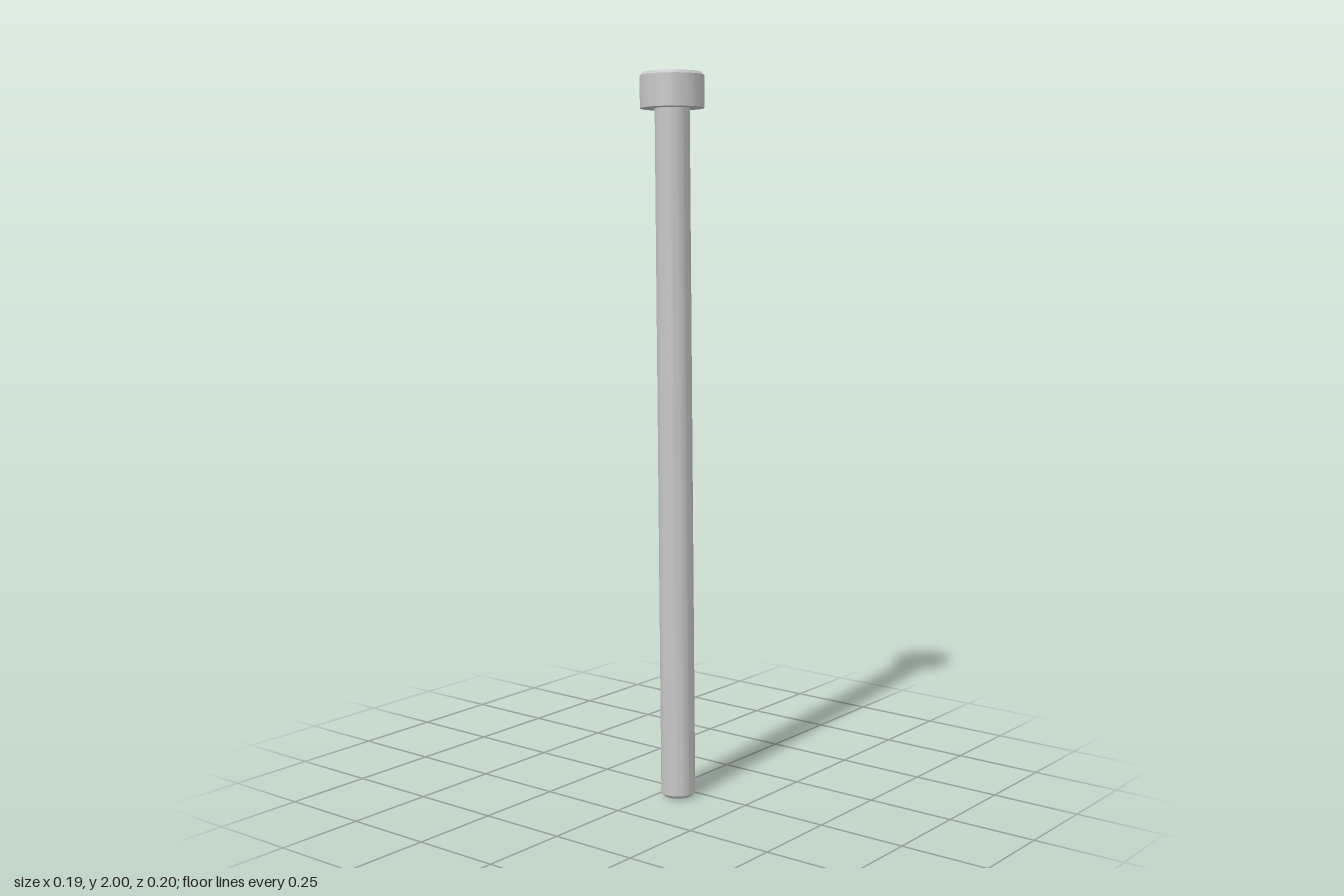
import * as THREE from 'three';
import { toCreasedNormals } from 'three/addons/utils/BufferGeometryUtils.js';

const LENGTH = 1.995, HEAD_H = 0.095, HEAD_R = 0.0873, SHAFT_R = 0.0475;
const HEX_R = 0.0458, CONE_R = 0.0394, SOCKET_DEPTH = 0.045, CONE_DEPTH = 0.02;

// Turned surface from [radius, height] pairs, with sharp edges kept
function turned(points, sides) {
  const profile = points.map(([r, y]) => new THREE.Vector2(r, y));
  return toCreasedNormals(new THREE.LatheGeometry(profile, sides), 0.35);
}

// Flat, upward-facing polygon with a polygonal hole
function ring(outerR, outerSides, innerR, innerSides, y) {
  const corners = (r, n) => Array.from({ length: n }, (_, i) => {
    const a = Math.PI / 2 + (i / n) * Math.PI * 2;
    return new THREE.Vector2(r * Math.cos(a), r * Math.sin(a));
  });
  const shape = new THREE.Shape(corners(outerR, outerSides));
  shape.holes.push(new THREE.Path(corners(innerR, innerSides)));
  return new THREE.ShapeGeometry(shape).rotateX(-Math.PI / 2).translate(0, y, 0);
}

export function createModel() {
  const model = new THREE.Group();
  model.name = 'socketHeadScrew';
  const steel = new THREE.MeshStandardMaterial({ color: 0xc4c4c4 });
  steel.name = 'steel grey';

  const screw = new THREE.Group();
  screw.name = 'screw';
  model.add(screw);
  const add = (name, geometry) => {
    const mesh = new THREE.Mesh(geometry, steel);
    mesh.name = name;
    screw.add(mesh);
  };

  const under = LENGTH - HEAD_H;
  const floor = LENGTH - SOCKET_DEPTH;

  // Plain shaft with a chamfered tip
  add('shaft', turned([[0, 0], [0.0395, 0], [SHAFT_R, 0.008], [SHAFT_R, under]], 64));

  // Cylindrical head with a chamfered top rim
  add('head', turned([
    [SHAFT_R, under], [HEAD_R, under], [HEAD_R, LENGTH - 0.008], [0.08, LENGTH],
  ], 64));
  add('headTop', ring(0.08, 64, HEX_R, 6, LENGTH));

  // Hexagonal socket with a drilled conical bottom
  add('socketWalls', turned([[HEX_R, LENGTH], [HEX_R, floor]], 6));
  add('socketFloor', ring(HEX_R, 6, CONE_R, 48, floor));
  add('socketCone', turned([[CONE_R, floor], [0, floor - CONE_DEPTH]], 48));

  // Lean the whole screw along its axis
  const base = new THREE.Vector3(-0.048, 0.0017, 0.052);
  const axis = new THREE.Vector3(0.0063, 1.9966, -0.0135).sub(base).normalize();
  screw.position.copy(base);
  screw.quaternion.setFromUnitVectors(new THREE.Vector3(0, 1, 0), axis);
  return model;
}
